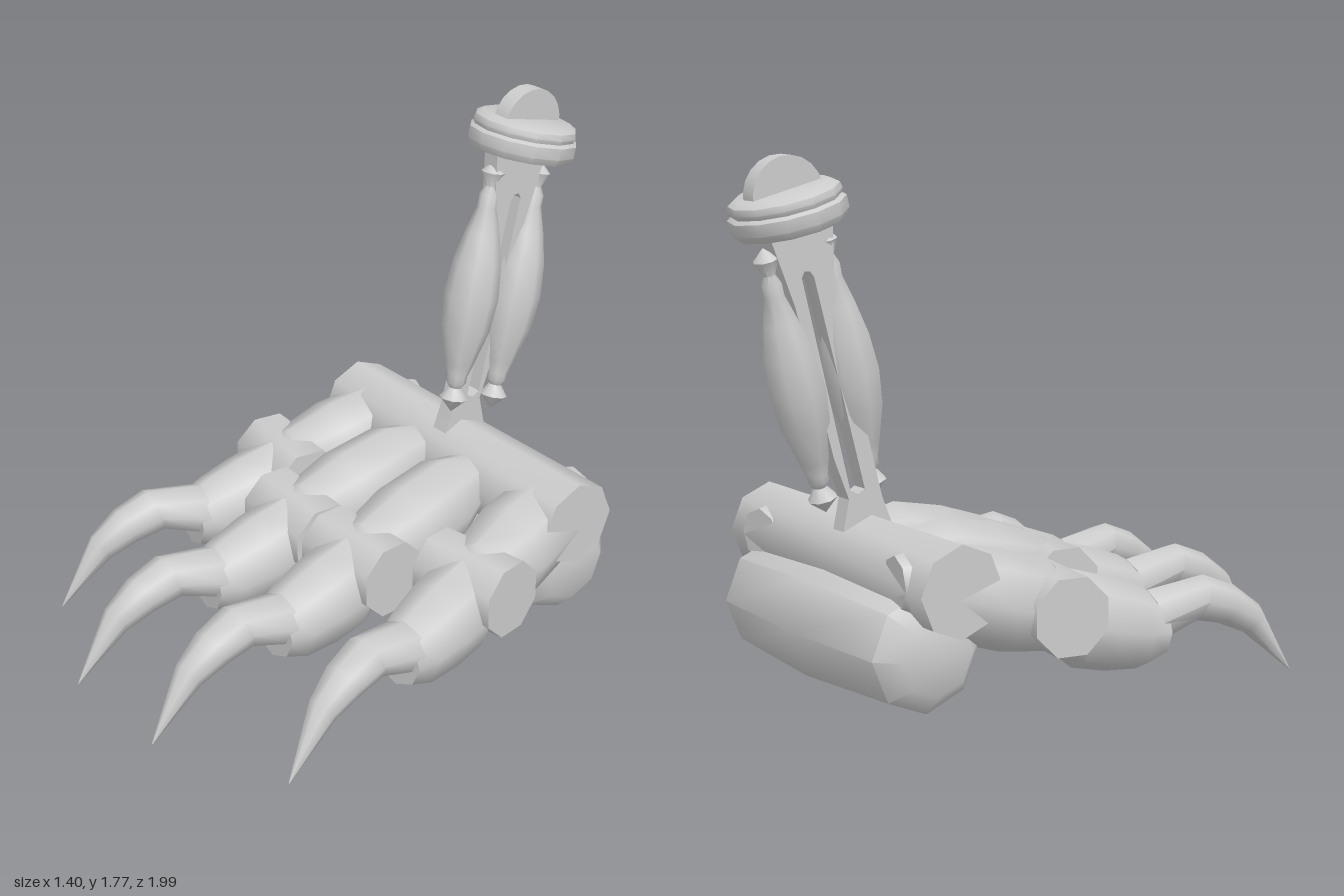
import * as THREE from 'three';
import { toCreasedNormals } from 'three/addons/utils/BufferGeometryUtils.js';

const metal = new THREE.MeshStandardMaterial({ color: 0xcccccc });
metal.name = 'grey metal';

const part = (name, geometry, crease = 0.9) => {
  const mesh = new THREE.Mesh(toCreasedNormals(geometry, crease), metal);
  mesh.name = name;
  return mesh;
};

const lathe = (points, sides) =>
  new THREE.LatheGeometry(points.map(([r, y]) => new THREE.Vector2(r, y)), sides);

// Tube through elliptical rings: [z, centre y, half width, half height, lean]
function loft(rings, sides = 8) {
  const pos = [], index = [];
  for (const [z, y, w, h, lean = 0] of rings) {
    for (let j = 0; j < sides; j++) {
      const a = (j / sides) * Math.PI * 2, s = Math.sin(a);
      pos.push(w * Math.cos(a), y + h * s, z + lean * s);
    }
  }
  for (let i = 0; i < rings.length - 1; i++) {
    for (let j = 0; j < sides; j++) {
      const a = i * sides + j, b = i * sides + (j + 1) % sides;
      index.push(a, b, b + sides, a, b + sides, a + sides);
    }
  }
  const g = new THREE.BufferGeometry();
  g.setAttribute('position', new THREE.Float32BufferAttribute(pos, 3));
  g.setIndex(index);
  return g;
}

// One toe, with its knuckle at the local origin in x and z
function makeToe(name, x, z, yaw) {
  const toe = new THREE.Group();
  toe.name = name;
  toe.add(part('upperToe', loft([
    [-0.54, 0.46, 0.002, 0.002], [-0.54, 0.46, 0.09, 0.09], [-0.38, 0.42, 0.15, 0.16],
    [-0.18, 0.37, 0.162, 0.17], [0, 0.33, 0.12, 0.15], [0.06, 0.32, 0.08, 0.1], [0.06, 0.32, 0.002, 0.002],
  ])));
  const knuckle = part('knuckle', new THREE.CylinderGeometry(0.137, 0.137, 0.33, 8)
    .rotateY(Math.PI / 8).rotateZ(Math.PI / 2));
  knuckle.position.y = 0.33;
  toe.add(knuckle);
  toe.add(part('lowerToe', loft([
    [0, 0.31, 0.002, 0.002], [0, 0.31, 0.12, 0.13], [0.08, 0.28, 0.148, 0.165],
    [0.2, 0.25, 0.142, 0.16], [0.32, 0.225, 0.122, 0.142], [0.4, 0.22, 0.1, 0.1], [0.4, 0.22, 0.002, 0.002],
  ])));
  toe.add(part('claw', loft([
    [0.34, 0.25, 0.002, 0.002], [0.36, 0.25, 0.098, 0.095], [0.55, 0.3, 0.085, 0.075, 0.02],
    [0.66, 0.265, 0.075, 0.062, 0.03], [0.76, 0.205, 0.052, 0.045, 0.03], [0.92, 0.005, 0.002, 0.002],
  ])));
  toe.position.set(x, 0, z);
  toe.rotation.y = yaw;
  return toe;
}

// Shock absorber between two points, swollen in the middle with a ball at each end
function makeShock(name, from, to) {
  const a = new THREE.Vector3(...from), b = new THREE.Vector3(...to);
  const dir = b.clone().sub(a), L = dir.length();
  const shock = part(name, lathe([
    [0.001, -0.05], [0.05, 0], [0.022, 0.04], [0.036, 0.06], [0.036, 0.085], [0.05, 0.13],
    [0.085, 0.26], [0.096, 0.38], [0.085, 0.5], [0.06, 0.61], [0.034, 0.7],
    [0.034, L - 0.08], [0.02, L - 0.05], [0.042, L], [0.001, L + 0.04],
  ], 8), 1.1);
  shock.position.copy(a);
  shock.quaternion.setFromUnitVectors(new THREE.Vector3(0, 1, 0), dir.normalize());
  return shock;
}

export function createModel() {
  const foot = new THREE.Group();
  foot.name = 'clawedFoot';

  // Heel roller and ankle bar
  const heel = part('heelRoller', lathe([
    [0.001, -0.54], [0.13, -0.54], [0.2, -0.47], [0.225, 0], [0.2, 0.47], [0.13, 0.54], [0.001, 0.54],
  ], 8).rotateZ(-Math.PI / 2));
  heel.position.set(0, 0.235, -0.575);
  const ankle = part('ankleBar', new THREE.CylinderGeometry(0.152, 0.152, 1.2, 8).rotateZ(Math.PI / 2));
  ankle.position.set(0, 0.448, -0.525);
  foot.add(heel, ankle);

  // Toes, splayed in mirrored pairs
  for (const [side, s] of [['left', 1], ['right', -1]]) {
    foot.add(makeToe(side + 'InnerToe', s * 0.17, 0.08, s * 0.055));
    foot.add(makeToe(side + 'OuterToe', s * 0.515, -0.13, s * 0.165));
  }

  // Slotted leg plate, drawn with shape x = -z
  const legX = -0.042, thick = 0.064;
  const plate = new THREE.Shape([
    [0.43, 0.52], [0.64, 0.52], [0.61, 0.66], [0.665, 0.8], [0.8, 1.3], [0.89, 1.53],
    [0.66, 1.58], [0.655, 1.35], [0.52, 0.8], [0.485, 0.66],
  ].map(([x, y]) => new THREE.Vector2(x, y)));
  plate.holes.push(new THREE.Path([
    [0.575, 0.675], [0.55, 0.69], [0.73, 1.39], [0.745, 1.41], [0.765, 1.41], [0.775, 1.39], [0.605, 0.69],
  ].map(([x, y]) => new THREE.Vector2(x, y))));
  const plateGeo = new THREE.ExtrudeGeometry(plate, { depth: thick, bevelEnabled: false });
  const strut = part('legPlate', plateGeo.translate(0, 0, -thick / 2).rotateY(Math.PI / 2), 0.4);
  strut.position.x = legX;
  foot.add(strut);

  foot.add(makeShock('frontShock', [-0.012, 0.7, -0.485], [-0.04, 1.505, -0.67]));
  foot.add(makeShock('rearShock', [0, 0.66, -0.665], [-0.04, 1.45, -0.885]));

  // Tilted knee cap with its upright disc
  const knee = new THREE.Group();
  knee.name = 'knee';
  knee.add(part('kneeCap', lathe([
    [0.001, -0.025], [0.12, -0.025], [0.145, -0.06], [0.175, -0.06], [0.192, -0.035], [0.192, 0.005],
    [0.178, 0.015], [0.185, 0.03], [0.18, 0.05], [0.155, 0.065], [0.001, 0.065],
  ], 12), 0.7));
  const disc = part('kneeDisc', new THREE.CylinderGeometry(0.128, 0.128, thick, 20).rotateZ(Math.PI / 2));
  disc.position.y = 0.045;
  knee.add(disc);
  knee.position.set(legX, 1.606, -0.806);
  knee.rotation.x = -0.25;
  foot.add(knee);

  return foot;
}
